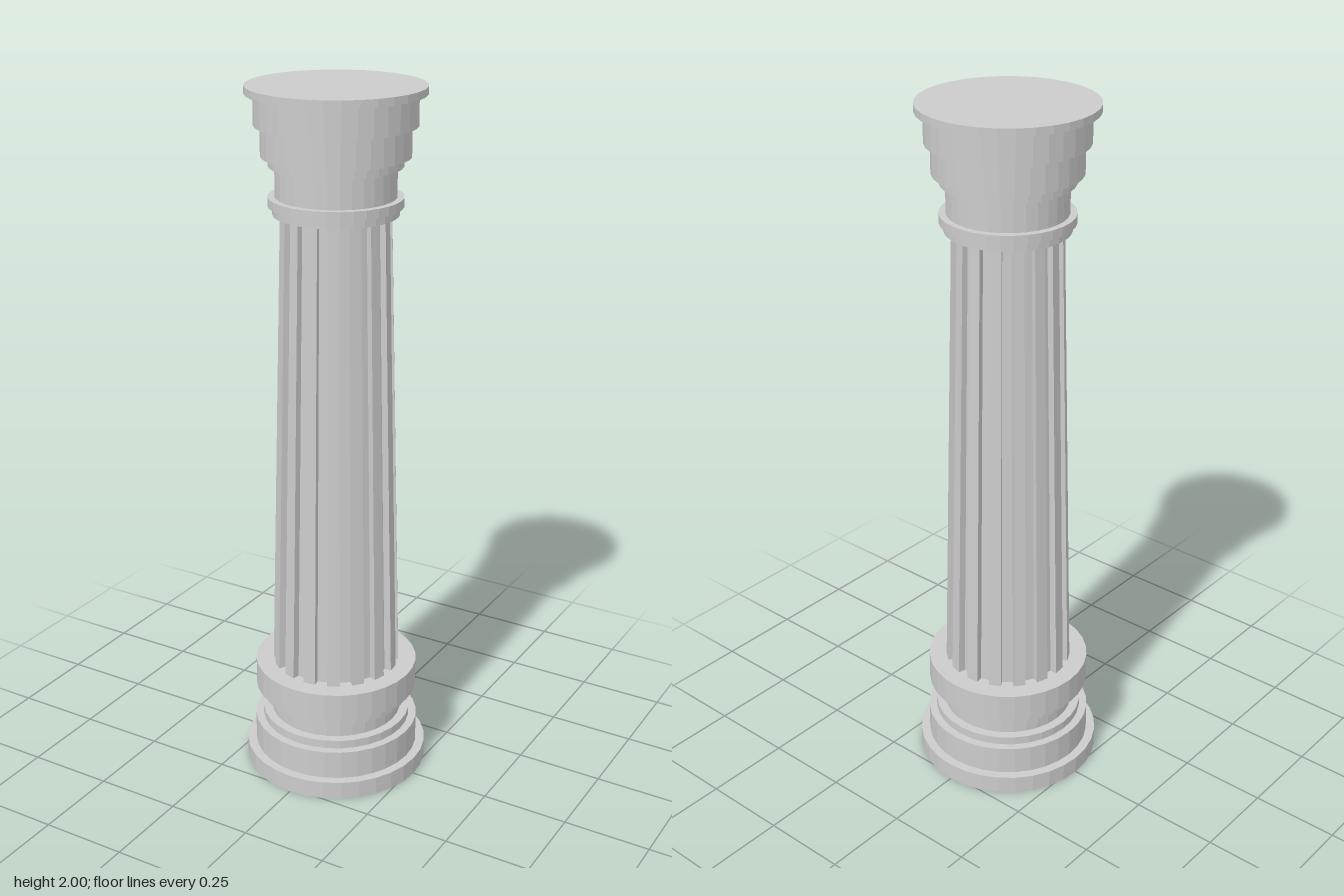
import * as THREE from 'three';

const SIDES = 32;
const material = new THREE.MeshStandardMaterial({ color: 0xcccccc, flatShading: true });

// Stack of straight drums, each [radius, bottom, top], turned as one closed solid.
function turned(name, drums) {
  const points = [new THREE.Vector2(0, drums[0][1])];
  for (const [r, y0, y1] of drums) points.push(new THREE.Vector2(r, y0), new THREE.Vector2(r, y1));
  points.push(new THREE.Vector2(0, drums[drums.length - 1][2]));
  const mesh = new THREE.Mesh(new THREE.LatheGeometry(points, SIDES), material);
  mesh.name = name;
  return mesh;
}

// Tapered shaft: every second facet is sunk between radial walls.
function flutedShaft(r0, r1, y0, y1, depth) {
  const ring = [];
  for (let k = 0; k < SIDES; k++) {
    const inset = k % 2 ? depth : 0;
    for (const a of [k, k + 1]) ring.push([a * 2 * Math.PI / SIDES, inset]);
  }
  const positions = [];
  const index = [];
  ring.forEach(([a, inset], i) => {
    for (const [r, y] of [[r0, y0], [r1, y1]]) {
      const radius = r * (1 - inset);
      positions.push(radius * Math.sin(a), y, radius * Math.cos(a));
    }
    const p = 2 * i, q = 2 * ((i + 1) % ring.length);
    index.push(p, q, q + 1, p, q + 1, p + 1);
  });
  const geometry = new THREE.BufferGeometry();
  geometry.setAttribute('position', new THREE.Float32BufferAttribute(positions, 3));
  geometry.setIndex(index);
  geometry.computeVertexNormals();
  const mesh = new THREE.Mesh(geometry, material);
  mesh.name = 'flutedShaft';
  return mesh;
}

export function createModel() {
  const column = new THREE.Group();
  column.name = 'column';

  // Base: plinth, drum, recessed neck between two fillets, upper drum
  column.add(turned('base', [
    [0.266, 0, 0.053],
    [0.24, 0.053, 0.138],
    [0.217, 0.138, 0.163],
    [0.191, 0.163, 0.217],
    [0.217, 0.217, 0.243],
    [0.236, 0.243, 0.324],
  ]));

  column.add(flutedShaft(0.185, 0.15, 0.324, 1.66, 0.115));

  // Capital: collar rings, neck, and steps widening to the top slab
  column.add(turned('capital', [
    [0.17, 1.66, 1.683],
    [0.182, 1.683, 1.708],
    [0.163, 1.708, 1.79],
    [0.18, 1.79, 1.816],
    [0.2, 1.816, 1.897],
    [0.217, 1.897, 1.979],
    [0.24, 1.979, 2],
  ]));

  return column;
}
